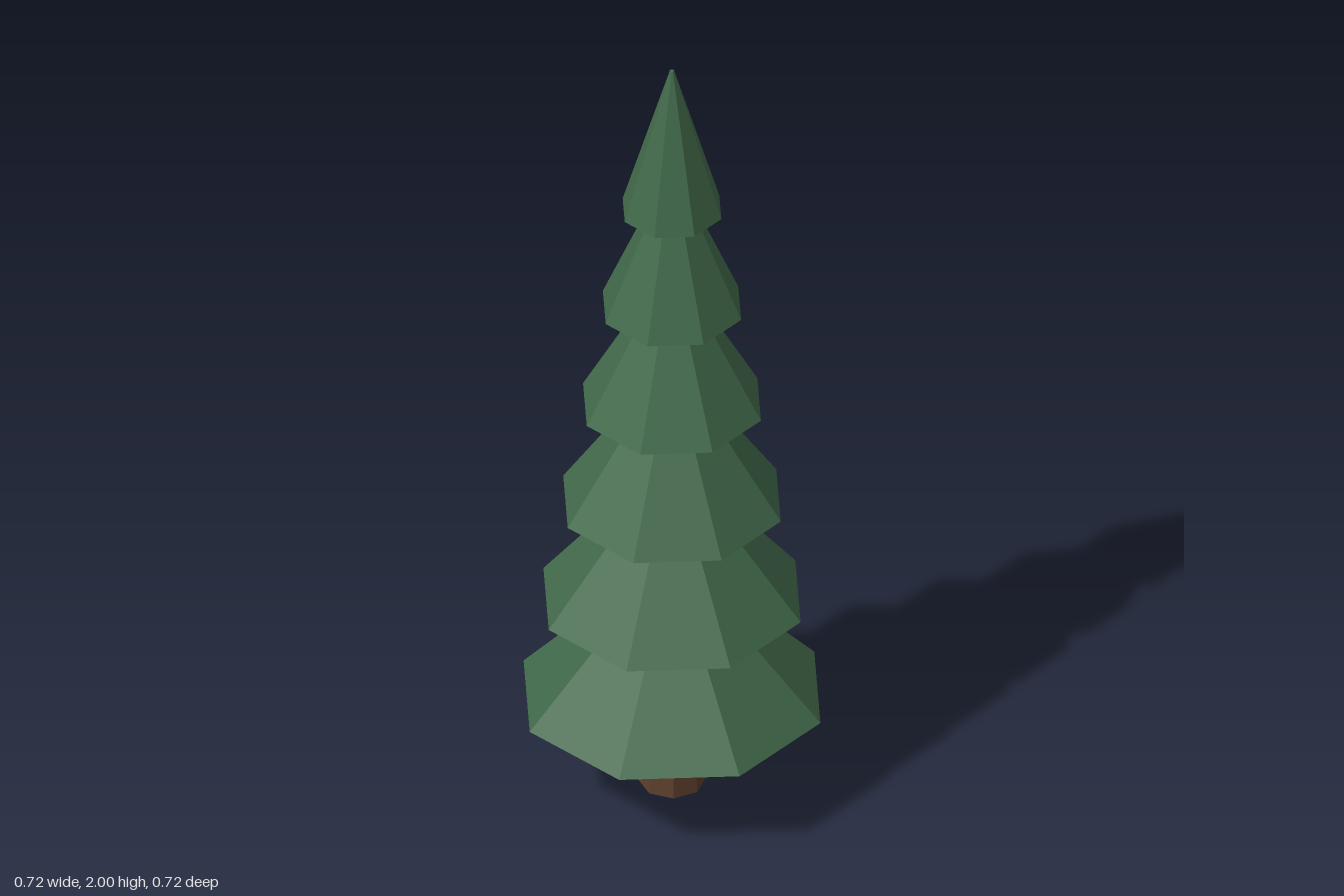
import * as THREE from 'three';

const SIDES = 8;

// Tapered eight-sided solid standing on height y
function taper(name, topRadius, bottomRadius, height, y, material) {
  const geometry = new THREE.CylinderGeometry(topRadius, bottomRadius, height, SIDES);
  geometry.translate(0, height / 2, 0);
  const mesh = new THREE.Mesh(geometry, material);
  mesh.name = name;
  mesh.position.y = y;
  return mesh;
}

export function createModel() {
  const tree = new THREE.Group();
  tree.name = 'pineTree';

  const bark = new THREE.MeshStandardMaterial({ color: 0x5c3f2c, flatShading: true });
  const needles = new THREE.MeshStandardMaterial({ color: 0x41694a, flatShading: true });

  // Trunk, reaching up into the lowest tier
  const trunk = taper('trunk', 0.058, 0.077, 0.31, 0, bark);
  trunk.rotation.y = Math.PI / SIDES;
  tree.add(trunk);

  // Six overlapping tiers, equal in height and narrowing upwards
  const tiers = 6;
  const tierHeight = 0.39;
  for (let i = 0; i < tiers; i++) {
    const t = i / (tiers - 1);
    const radius = THREE.MathUtils.lerp(0.358, 0.119, t);
    const y = THREE.MathUtils.lerp(0.245, 2 - tierHeight, t);
    tree.add(taper(`foliageTier${i + 1}`, 0.005, radius, tierHeight, y, needles));
  }

  return tree;
}
